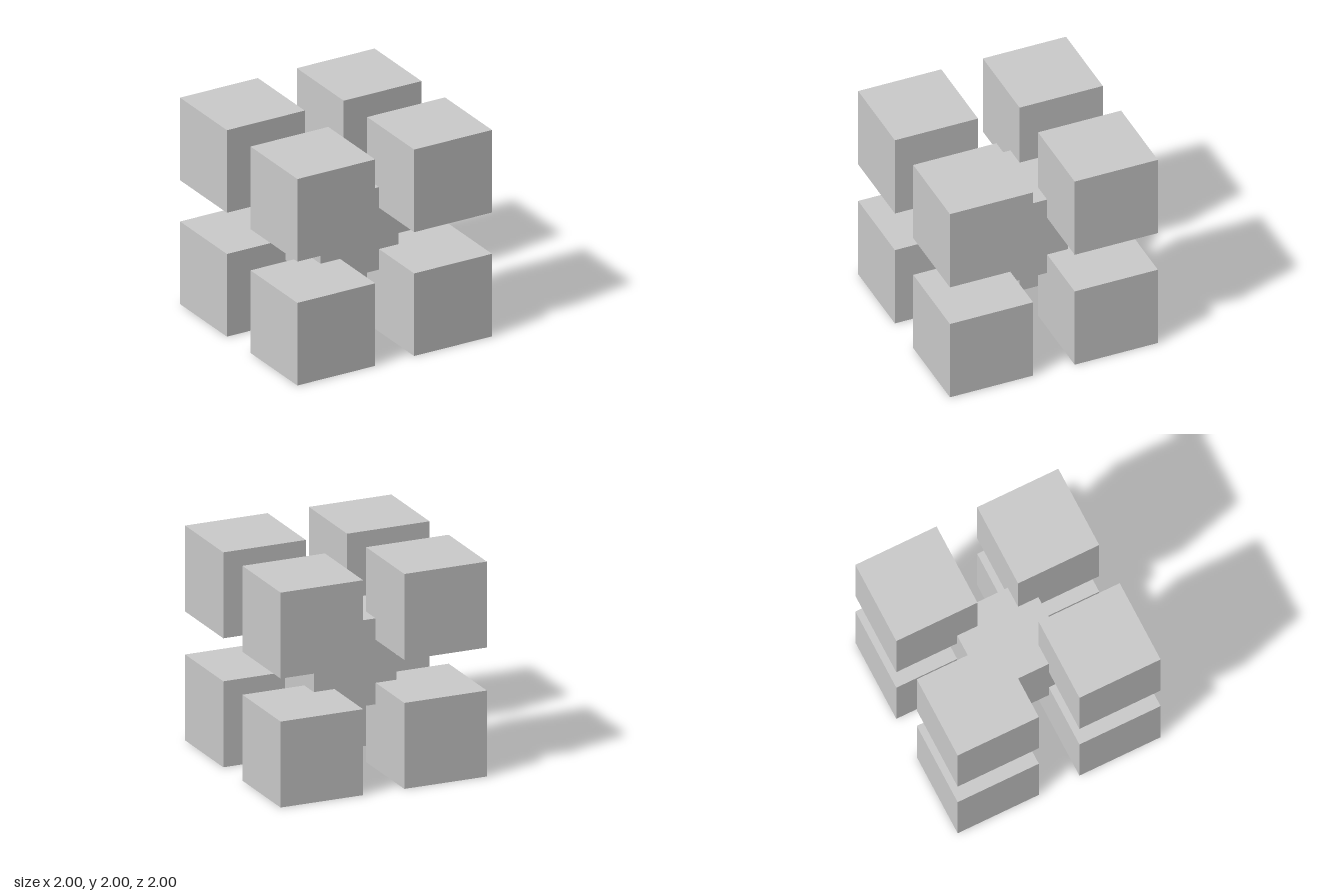
import * as THREE from 'three';

export function createModel() {
  const model = new THREE.Group();
  const material = new THREE.MeshStandardMaterial({ color: 0xcccccc, flatShading: true });
  const cube = new THREE.BoxGeometry(0.8, 0.8, 0.8);

  const addCube = (name, x, y, z) => {
    const mesh = new THREE.Mesh(cube, material);
    mesh.name = name;
    mesh.position.set(x, y, z);
    model.add(mesh);
  };

  // Core cube, overlapping the inner corner of every outer cube
  addCube('coreCube', 0, 1, 0);

  // Eight outer cubes, one per corner
  for (const x of [-1, 1])
    for (const y of [-1, 1])
      for (const z of [-1, 1]) {
        const name = (y > 0 ? 'upper' : 'lower') + (z > 0 ? 'Front' : 'Back') + (x > 0 ? 'Left' : 'Right') + 'Cube';
        addCube(name, x * 0.6, 1 + y * 0.6, z * 0.6);
      }

  return model;
}
